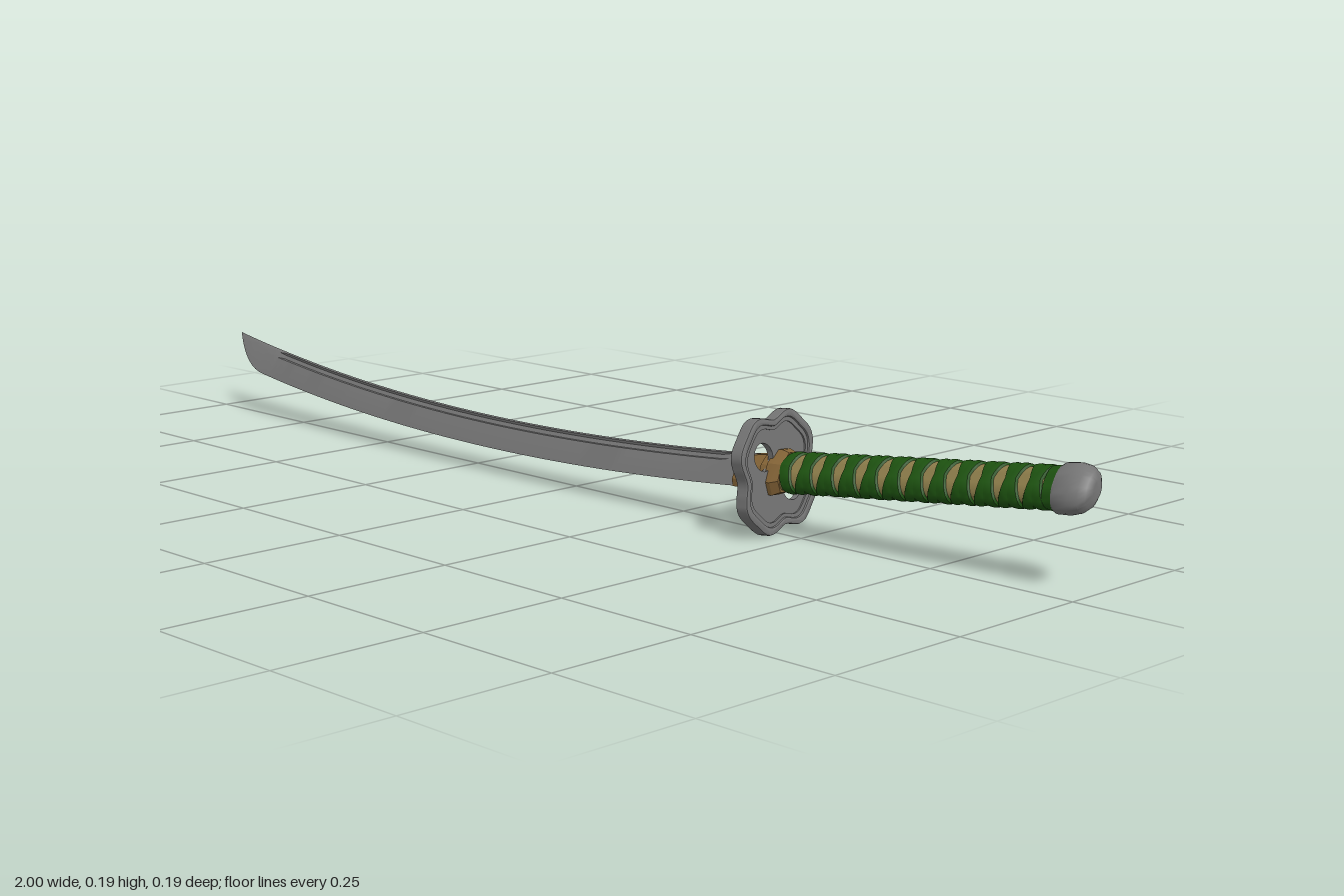
import * as THREE from 'three';
import { toCreasedNormals } from 'three/addons/utils/BufferGeometryUtils.js';

const mat = (name, color) => {
  const m = new THREE.MeshStandardMaterial({ color });
  m.name = name;
  return m;
};

// Skin a row of [x, y, z] rings running along +x and close both ends
function loft(rings, crease = 0.6) {
  const pos = [];
  const tri = (...p) => p.forEach((v) => pos.push(...v));
  const n = rings[0].length;
  const centre = (r) => [0, 1, 2].map((k) => r.reduce((s, p) => s + p[k], 0) / n);
  const first = rings[0], last = rings[rings.length - 1];
  const c0 = centre(first), c1 = centre(last);
  for (let j = 0; j < n; j++) {
    const k = (j + 1) % n;
    for (let i = 0; i < rings.length - 1; i++) {
      const a = rings[i], b = rings[i + 1];
      tri(a[j], a[k], b[j]);
      tri(a[k], b[k], b[j]);
    }
    tri(c0, first[k], first[j]);
    tri(c1, last[j], last[k]);
  }
  const g = new THREE.BufferGeometry();
  g.setAttribute('position', new THREE.Float32BufferAttribute(pos, 3));
  return toCreasedNormals(g, crease);
}

// Oval ring: a = half height, b = half thickness
const oval = (x, a, b, n = 24) => Array.from({ length: n }, (_, i) => {
  const t = (i / n) * Math.PI * 2;
  return [x, a * Math.cos(t), b * Math.sin(t)];
});

// Curved blade with a shallow groove below the spine on both sides
function bladeGeometry() {
  const rings = [];
  const steps = 64;
  for (let i = 0; i <= steps; i++) {
    const x = -1 + 1.41 * Math.pow(i / steps, 1.25);
    const spine = 0.095 * (x + 0.17) ** 2;
    const tip = Math.min(1, (x + 1) / 0.13);
    const w = 0.058 * Math.max(0.005, Math.sin(tip * Math.PI / 2) ** 0.9);
    const t = 0.008 * Math.max(0.04, Math.min(1, (x + 1) / 0.2));
    const groove = x > -0.84 && x < 0.34 ? 0.5 * t : 0.97 * t;
    const side = [[0, 0.55 * t], [0.07, 0.9 * t], [0.12, groove], [0.25, groove], [0.31, t]];
    const put = (d, z) => [x, spine - d * w, z];
    rings.push([
      ...side.map(([d, z]) => put(d, z)),
      put(1, 0),
      ...side.slice().reverse().map(([d, z]) => put(d, -z)),
    ]);
  }
  return loft(rings, 0.25);
}

// Wavy four-lobed outline of the guard
function lobedPath(scale, path) {
  const pts = [];
  for (let i = 0; i < 72; i++) {
    const a = (i / 72) * Math.PI * 2;
    const r = scale * (0.095 + 0.008 * Math.cos(4 * a) - 0.004 * Math.cos(8 * a));
    pts.push(new THREE.Vector2(r * Math.cos(a), r * Math.sin(a)));
  }
  return path.setFromPoints(pts);
}

// Guard layer, standing across the handle axis
function guardLayer(outer, inner, depth, bevel) {
  const shape = lobedPath(outer, new THREE.Shape());
  if (inner) {
    shape.holes.push(lobedPath(inner, new THREE.Path()));
  } else {
    for (const s of [-1, 1]) {
      const hole = new THREE.Path();
      hole.absellipse(s * 0.042, 0, 0.024, 0.021, 0, Math.PI * 2, false, 0);
      shape.holes.push(hole);
    }
  }
  const g = new THREE.ExtrudeGeometry(shape, {
    depth, curveSegments: 20, bevelEnabled: bevel > 0,
    bevelThickness: bevel, bevelSize: bevel, bevelOffset: -bevel, bevelSegments: 2,
  });
  g.translate(0, 0, -depth / 2);
  g.rotateY(Math.PI / 2);
  return toCreasedNormals(g, 0.6);
}

// Cord winding round the oval grip; dir sets the sense of the helix
function cordGeometry(start, end, pitch, dir) {
  const section = [[-0.5, -0.002], [-0.36, 0.0035], [0, 0.005], [0.36, 0.0035], [0.5, -0.002]];
  const width = 0.024, perTurn = 24;
  const count = Math.round(((end - start) / (2 * pitch)) * perTurn);
  const pos = [], index = [];
  for (let i = 0; i <= count; i++) {
    const a = (i / perTurn) * Math.PI * 2;
    const x = start + (i / perTurn) * 2 * pitch;
    for (const [u, h] of section) {
      pos.push(x + u * width, (0.031 + h) * Math.sin(a) * dir, (0.0185 + h) * Math.cos(a));
    }
  }
  const m = section.length;
  for (let i = 0; i < count; i++) {
    for (let j = 0; j < m - 1; j++) {
      const a = i * m + j, b = a + 1, c = a + m, d = c + 1;
      if (dir > 0) index.push(a, b, c, b, d, c);
      else index.push(a, c, b, b, c, d);
    }
  }
  const g = new THREE.BufferGeometry();
  g.setAttribute('position', new THREE.Float32BufferAttribute(pos, 3));
  g.setIndex(index);
  return toCreasedNormals(g, 0.7);
}

export function createModel() {
  const steel = mat('steel', 0x757575);
  const brass = mat('brass', 0x846437);
  const green = mat('green cord', 0x1d5210);
  green.side = THREE.DoubleSide;
  const tan = mat('tan grip', 0x8c7c4a);

  const model = new THREE.Group();
  model.name = 'sword';
  const add = (parent, name, geometry, material) => {
    const mesh = new THREE.Mesh(geometry, material);
    mesh.name = name;
    parent.add(mesh);
    return mesh;
  };

  // The whole sword leans back about its length
  const body = new THREE.Group();
  body.name = 'leaningSword';
  body.rotation.x = -THREE.MathUtils.degToRad(40);
  body.position.y = 0.096;
  model.add(body);
  add(body, 'blade', bladeGeometry(), steel);

  // The hilt follows the upward sweep of the blade
  const hilt = new THREE.Group();
  hilt.name = 'hilt';
  hilt.position.set(0.44, 0.008, 0);
  hilt.rotation.z = 0.13;
  body.add(hilt);

  // Guard: pierced plate, inner step and raised rim
  add(hilt, 'guardPlate', guardLayer(0.92, 0, 0.01, 0), steel);
  add(hilt, 'guardStep', guardLayer(0.9, 0.8, 0.015, 0), steel);
  add(hilt, 'guardRim', guardLayer(1, 0.87, 0.016, 0.003), steel);

  // Blade collar and the fittings on both sides of the guard
  add(hilt, 'bladeCollar', loft([
    oval(-0.07, 0.03, 0.011, 8), oval(-0.035, 0.032, 0.014, 8), oval(0, 0.033, 0.016, 8),
  ], 0.2), brass);
  add(hilt, 'frontSpacer', loft([oval(-0.014, 0.036, 0.021, 8), oval(0, 0.037, 0.021, 8)], 0.2), brass);
  add(hilt, 'gripCollar', loft([
    oval(0, 0.042, 0.024, 8), oval(0.012, 0.042, 0.024, 8), oval(0.026, 0.036, 0.022, 8),
  ], 0.2), brass);

  // Grip and its two crossing cords
  add(hilt, 'grip', loft([oval(0.01, 0.031, 0.0185), oval(0.52, 0.031, 0.0185)]), tan);
  add(hilt, 'cord', cordGeometry(0.033, 0.513, 0.02, 1), green);
  add(hilt, 'crossingCord', cordGeometry(0.033, 0.513, 0.02, -1), green);
  add(hilt, 'endBinding', loft([oval(0.488, 0.034, 0.022), oval(0.51, 0.036, 0.023)]), green);

  // Rounded pommel cap
  const cap = [[0.503, 0.92], [0.508, 1], [0.53, 1.02], [0.545, 0.93], [0.556, 0.72], [0.562, 0.4], [0.563, 0.05]];
  add(hilt, 'pommel', loft(cap.map(([x, s]) => oval(x, 0.04 * s, 0.0245 * s)), 0.8), steel);

  return model;
}
